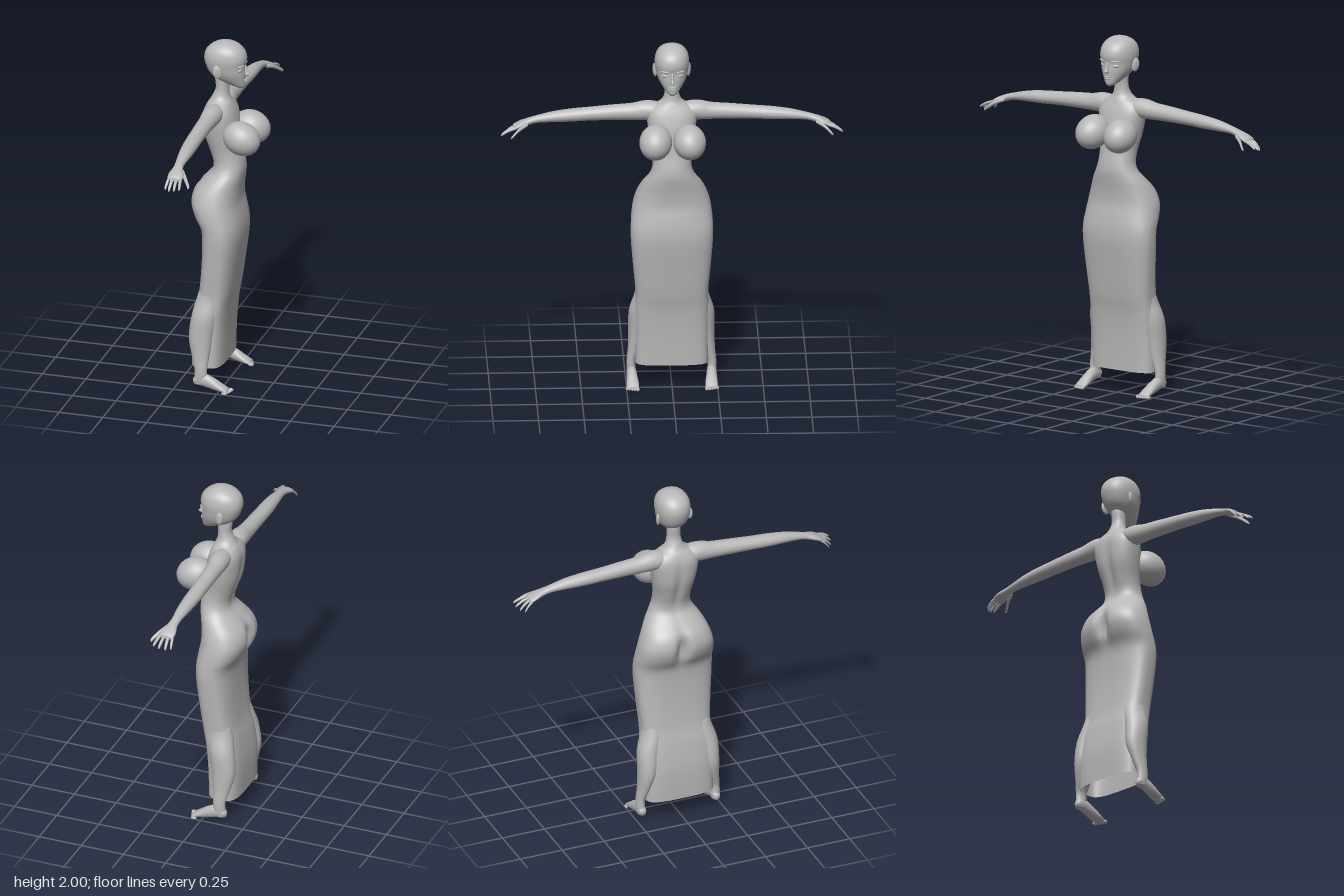
import * as THREE from 'three';

const skin = new THREE.MeshStandardMaterial({ color: 0xb8b8b8, side: THREE.DoubleSide });
skin.name = 'plain grey';

// Smooth interpolation through a list of rows
function sample(rows, t) {
  const n = rows.length - 1, i = Math.min(Math.floor(t), n - 1), f = t - i;
  const [a, b, c, d] = [i - 1, i, i + 1, i + 2].map(k => rows[Math.max(0, Math.min(n, k))]);
  return b.map((_, k) => 0.5 * (2 * b[k] + (c[k] - a[k]) * f
    + (2 * a[k] - 5 * b[k] + 4 * c[k] - d[k]) * f * f
    + (3 * b[k] - a[k] - 3 * c[k] + d[k]) * f * f * f));
}

// Loft along an axis; each row: position, centre u, centre v, radius u, radius v, squareness
// axis y: u = z, v = x    axis z: u = x, v = y    axis x: u = y, v = z
function loft(axis, rows, { seg = 24, sub = 4, capStart = true, capEnd = true, shape = null } = {}) {
  const pos = [], idx = [], steps = (rows.length - 1) * sub;
  const put = (p, u, v) => {
    const q = axis === 'y' ? [v, p, u] : axis === 'z' ? [u, v, p] : [p, u, v];
    if (shape) shape(q);
    pos.push(...q);
  };
  const full = rows.map(r => r.length < 6 ? [...r, 2] : r);
  const power = (s, n) => Math.sign(s) * Math.pow(Math.abs(s), 2 / n);
  for (let i = 0; i <= steps; i++) {
    const [p, cu, cv, ru, rv, n] = sample(full, i / sub);
    for (let j = 0; j < seg; j++) {
      const a = j / seg * Math.PI * 2;
      put(p, cu + Math.max(ru, 0.001) * power(Math.cos(a), n), cv + Math.max(rv, 0.001) * power(Math.sin(a), n));
    }
  }
  for (let i = 0; i < steps; i++) for (let j = 0; j < seg; j++) {
    const a = i * seg + j, b = i * seg + (j + 1) % seg;
    idx.push(a, b, b + seg, a, b + seg, a + seg);
  }
  const cap = (row, base, flip) => {
    const c = pos.length / 3;
    put(row[0], row[1], row[2]);
    for (let j = 0; j < seg; j++) {
      const a = base + j, b = base + (j + 1) % seg;
      idx.push(c, flip ? b : a, flip ? a : b);
    }
  };
  if (capStart) cap(full[0], 0, true);
  if (capEnd) cap(full[full.length - 1], steps * seg, false);
  const g = new THREE.BufferGeometry();
  g.setAttribute('position', new THREE.Float32BufferAttribute(pos, 3));
  g.setIndex(idx);
  g.computeVertexNormals();
  return g;
}

function ellipsoid(c, r, tilt = 0, turn = 0) {
  return new THREE.SphereGeometry(1, 28, 20).scale(...r).rotateZ(tilt).rotateY(turn).translate(...c);
}

function mirrored(geo) {
  const g = geo.clone().scale(1, 1, -1), ix = g.index.array;
  for (let i = 0; i < ix.length; i += 3) [ix[i], ix[i + 1]] = [ix[i + 1], ix[i]];
  return g;
}

export function createModel() {
  const model = new THREE.Group();
  model.name = 'figure';
  const add = (name, geo) => {
    const m = new THREE.Mesh(geo, skin);
    m.name = name;
    model.add(m);
  };
  const pair = (name, geo) => {
    add(name + 'Left', geo);
    add(name + 'Right', mirrored(geo));
  };

  // Torso, hips and long skirt as one skin: y, back x, front x, half width, squareness
  const body = [
    [0.125, -0.182, 0, 0.2, 3.6], [0.3, -0.183, 0.006, 0.2, 3.6], [0.45, -0.165, 0.02, 0.203, 3.4],
    [0.55, -0.145, 0.04, 0.2, 3.2], [0.7, -0.132, 0.062, 0.213, 2.9], [0.85, -0.13, 0.083, 0.225, 2.6],
    [0.93, -0.14, 0.085, 0.226, 2.5], [1.0, -0.18, 0.077, 0.222, 2.4], [1.07, -0.2, 0.066, 0.211, 2.4],
    [1.14, -0.185, 0.07, 0.188, 2.3], [1.2, -0.135, 0.08, 0.158, 2.2], [1.25, -0.092, 0.087, 0.124, 2.2],
    [1.3, -0.088, 0.084, 0.107, 2.2], [1.37, -0.11, 0.07, 0.108, 2.2], [1.45, -0.135, 0.06, 0.122, 2.3],
    [1.53, -0.143, 0.048, 0.134, 2.4], [1.59, -0.14, 0.033, 0.136, 2.4], [1.63, -0.125, 0.018, 0.11, 2.2],
    [1.65, -0.112, 0.01, 0.076, 2], [1.675, -0.098, 0, 0.05, 2], [1.72, -0.08, -0.005, 0.039, 2],
    [1.78, -0.085, 0.002, 0.039, 2], [1.82, -0.08, 0, 0.038, 2],
  ].map(([y, b, f, w, n]) => [y, 0, (b + f) / 2, w, (f - b) / 2, n]);
  add('bodyAndSkirt', loft('y', body, {
    seg: 72, capStart: false,
    // Central grooves down the hips and the spine
    shape: q => {
      if (q[0] > -0.06) return;
      const hip = Math.exp(-(((q[1] - 1.06) / 0.08) ** 2)), spine = Math.exp(-(((q[1] - 1.42) / 0.13) ** 2));
      q[0] += 0.055 * hip * Math.exp(-((q[2] / 0.03) ** 2)) + 0.015 * spine * Math.exp(-((q[2] / 0.025) ** 2));
    },
  }));

  // Bust
  pair('bust', ellipsoid([0.095, 1.467, 0.093], [0.108, 0.092, 0.09], -0.4, -0.12));

  // Head: y, back x, front x, half width
  add('head', loft('y', [
    [1.732, 0.045, 0.078, 0.014], [1.745, 0.01, 0.086, 0.031], [1.765, -0.04, 0.088, 0.048],
    [1.79, -0.088, 0.089, 0.066], [1.82, -0.118, 0.09, 0.081], [1.86, -0.136, 0.088, 0.091],
    [1.9, -0.144, 0.095, 0.095], [1.94, -0.135, 0.085, 0.089], [1.97, -0.108, 0.058, 0.072],
    [1.99, -0.07, 0.022, 0.044], [2.0, -0.03, -0.015, 0.008],
  ].map(([y, b, f, w]) => [y, 0, (b + f) / 2, w, (f - b) / 2, 2.15]), { seg: 40 }));

  // Face
  add('nose', loft('y', [
    [1.805, 0, 0.088, 0.006, 0.008], [1.814, 0, 0.094, 0.011, 0.021],
    [1.83, 0, 0.089, 0.008, 0.016], [1.865, 0, 0.084, 0.006, 0.008],
  ], { seg: 16 }));
  add('upperLip', ellipsoid([0.088, 1.784, 0], [0.011, 0.005, 0.02]));
  add('lowerLip', ellipsoid([0.087, 1.774, 0], [0.01, 0.006, 0.016]));
  pair('eye', ellipsoid([0.07, 1.847, 0.041], [0.011, 0.011, 0.02], 0, -0.45));
  pair('brow', ellipsoid([0.075, 1.872, 0.042], [0.012, 0.006, 0.026], 0, -0.45));
  pair('ear', ellipsoid([-0.045, 1.842, 0.093], [0.025, 0.038, 0.011], 0.15, 0.3));

  // Shoulder, arm and palm: z, x, y, half depth, half height
  pair('arm', loft('z', [
    [0.06, -0.06, 1.6, 0.05, 0.045], [0.11, -0.062, 1.6, 0.056, 0.053], [0.16, -0.064, 1.598, 0.053, 0.054],
    [0.22, -0.066, 1.592, 0.047, 0.047], [0.32, -0.067, 1.588, 0.044, 0.043], [0.45, -0.067, 1.581, 0.042, 0.038],
    [0.55, -0.065, 1.575, 0.041, 0.036], [0.65, -0.062, 1.568, 0.035, 0.03], [0.74, -0.06, 1.556, 0.026, 0.021],
    [0.79, -0.057, 1.543, 0.029, 0.02], [0.83, -0.054, 1.53, 0.042, 0.018], [0.86, -0.052, 1.517, 0.043, 0.015],
    [0.872, -0.052, 1.512, 0.034, 0.01],
  ]));

  // Fingers and thumb
  const finger = (name, x0, x1, z0, z1, y0, y1, r) => pair(name, loft('z', [
    [z0, x0, y0, r, r], [z0 + (z1 - z0) * 0.5, (x0 + x1) / 2, y0 + (y1 - y0) * 0.35, r, r],
    [z0 + (z1 - z0) * 0.9, x1, y0 + (y1 - y0) * 0.85, r * 0.75, r * 0.8], [z1, x1, y1, r * 0.25, r * 0.3],
  ], { seg: 10, sub: 3 }));
  finger('littleFinger', -0.086, -0.094, 0.855, 0.905, 1.514, 1.463, 0.008);
  finger('ringFinger', -0.064, -0.068, 0.86, 0.925, 1.515, 1.463, 0.009);
  finger('middleFinger', -0.041, -0.036, 0.86, 0.937, 1.516, 1.472, 0.009);
  finger('indexFinger', -0.019, -0.006, 0.855, 0.938, 1.518, 1.482, 0.009);
  finger('thumb', -0.03, 0.028, 0.79, 0.885, 1.535, 1.475, 0.011);

  // Lower legs beside the skirt: y, z, x, half width, half depth
  pair('leg', loft('y', [
    [0.04, 0.22, -0.108, 0.022, 0.033], [0.08, 0.222, -0.1, 0.025, 0.036], [0.13, 0.221, -0.1, 0.025, 0.036],
    [0.2, 0.204, -0.106, 0.035, 0.05], [0.3, 0.186, -0.11, 0.051, 0.068], [0.42, 0.174, -0.095, 0.06, 0.071],
    [0.52, 0.145, -0.075, 0.06, 0.07], [0.6, 0.135, -0.05, 0.06, 0.07],
  ]));

  // Feet: x, y, z, half height, half width
  pair('foot', loft('x', [
    [-0.143, 0.058, 0.22, 0.01, 0.01], [-0.128, 0.062, 0.22, 0.026, 0.022], [-0.08, 0.064, 0.22, 0.038, 0.026],
    [-0.03, 0.048, 0.218, 0.034, 0.03], [0.015, 0.029, 0.216, 0.023, 0.034], [0.045, 0.017, 0.216, 0.014, 0.034],
    [0.056, 0.013, 0.216, 0.009, 0.03],
  ]));
  for (let i = 0; i < 5; i++) {
    const r = i === 0 ? 0.011 : 0.008;
    pair('toe' + (i + 1), ellipsoid([0.061 - i * 0.005, r, 0.19 + i * 0.0145], [0.017, r, r]));
  }
  return model;
}
